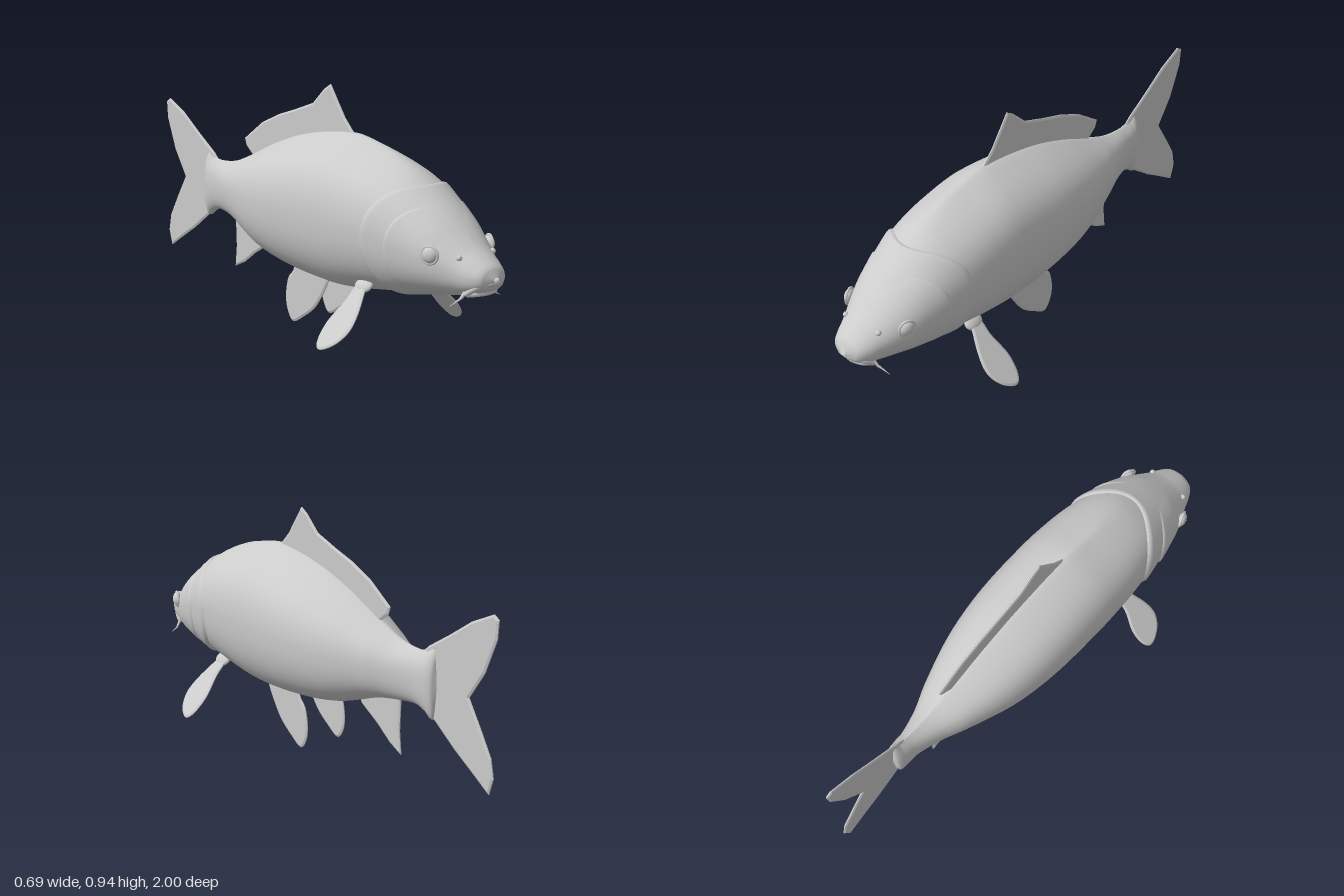
import * as THREE from 'three';
import { ParametricGeometry } from 'three/addons/geometries/ParametricGeometry.js';

const mat = new THREE.MeshStandardMaterial({ color: 0xcccccc, side: THREE.DoubleSide });

// Body stations, tail to nose: z, top y, bottom y, half width
const stations = [
  [-0.70, 0.47, 0.41, 0.006], [-0.69, 0.57, 0.31, 0.028], [-0.65, 0.56, 0.325, 0.04],
  [-0.6, 0.55, 0.34, 0.045], [-0.5, 0.56, 0.33, 0.075], [-0.4, 0.595, 0.31, 0.118],
  [-0.2, 0.68, 0.24, 0.182], [0, 0.74, 0.205, 0.213], [0.25, 0.772, 0.19, 0.22],
  [0.4, 0.748, 0.205, 0.216], [0.5, 0.72, 0.22, 0.207], [0.6, 0.677, 0.235, 0.192],
  [0.7, 0.612, 0.25, 0.174], [0.8, 0.542, 0.265, 0.15], [0.9, 0.455, 0.282, 0.105],
  [0.95, 0.42, 0.295, 0.083], [0.985, 0.392, 0.318, 0.055], [1, 0.362, 0.345, 0.012],
];

// Smooth interpolation of one station column at z
function sample(z, col) {
  const n = stations.length;
  let i = 0;
  while (i < n - 2 && z > stations[i + 1][0]) i++;
  const slope = (k) => {
    const a = stations[Math.max(k - 1, 0)], b = stations[Math.min(k + 1, n - 1)];
    return (b[col] - a[col]) / (b[0] - a[0]);
  };
  const p = stations[i], q = stations[i + 1], h = q[0] - p[0];
  const t = THREE.MathUtils.clamp((z - p[0]) / h, 0, 1);
  // End pieces stay straight so the tips do not overshoot
  if (i === 0 || i === n - 2) return p[col] + (q[col] - p[col]) * t;
  const t2 = t * t, t3 = t2 * t;
  return (2 * t3 - 3 * t2 + 1) * p[col] + (t3 - 2 * t2 + t) * h * slope(i)
    + (3 * t2 - 2 * t3) * q[col] + (t3 - t2) * h * slope(i + 1);
}

// Point on the skin: pointed back, full belly, rounder on the head
function skin(angle, z, off, target) {
  const c = Math.cos(angle), s = Math.sin(angle);
  const top = sample(z, 1), bot = sample(z, 2), w = sample(z, 3);
  const mid = (top + bot) / 2, h = (top - bot) / 2;
  let x = c, y = s;
  if (s > 0) {
    x *= 1 - 0.6 * Math.pow(s, 5) * (1 - THREE.MathUtils.smoothstep(z, 0.4, 0.72));
  } else {
    x = Math.sign(c) * Math.pow(Math.abs(c), 0.85);
    y = -Math.pow(-s, 0.87);
  }
  return target.set(x * w + c * off, mid + y * h + s * off, z);
}

function add(group, name, geometry) {
  const mesh = new THREE.Mesh(geometry, mat);
  mesh.name = name;
  group.add(mesh);
  return mesh;
}

// Raised plate that ends in a curved step on the flank
function gillPlate(rear, front, height) {
  return new ParametricGeometry((u, v, t) => {
    const a = u * Math.PI * 2;
    const rise = v < 0.1 ? Math.sin((v / 0.1) * Math.PI / 2) * 1.6 - 0.6 : 1 - ((v - 0.1) / 0.9) * 1.4;
    const z0 = rear(a);
    skin(a, z0 + (front - z0) * v, height(a) * rise, t);
  }, 72, 24);
}

// Thin bevelled fin in the z-y plane from [z, y] points
function finGeometry(points, rounded, depth = 0.004) {
  const pts = points.map(([z, y]) => new THREE.Vector2(z, y));
  const shape = new THREE.Shape();
  shape.moveTo(pts[0].x, pts[0].y);
  if (rounded) shape.splineThru(pts.slice(1));
  else pts.slice(1).forEach((p) => shape.lineTo(p.x, p.y));
  shape.closePath();
  const g = new THREE.ExtrudeGeometry(shape, {
    depth, bevelThickness: 0.004, bevelSize: 0.008, bevelOffset: -0.008, bevelSegments: 1, curveSegments: 5,
  });
  g.translate(0, 0, -depth / 2);
  return g.rotateY(-Math.PI / 2);
}

function tube(points, radius) {
  const curve = new THREE.CatmullRomCurve3(points.map((p) => new THREE.Vector3(...p)));
  return new THREE.TubeGeometry(curve, 20, radius, 8);
}

export function createModel() {
  const fish = new THREE.Group();
  fish.name = 'fish';

  add(fish, 'body', new ParametricGeometry((u, v, t) => {
    const e = (1 - Math.cos(v * Math.PI)) / 2;
    skin(u * Math.PI * 2, -0.7 + 1.7 * (0.4 * v + 0.6 * e), 0, t);
  }, 56, 110));

  // Head plates
  const base = (a) => 0.63 + 0.03 * Math.sin(a);
  add(fish, 'gillCover', gillPlate((a) => base(a) - 0.12 * Math.cos(a) ** 2, 0.86, () => 0.011));
  add(fish, 'cheekPlate', gillPlate((a) => base(a) + 0.08 - 0.09 * Math.cos(a) ** 2, 0.88,
    (a) => 0.017 * Math.abs(Math.cos(a)) - 0.003));

  // Lips
  add(fish, 'upperLip', tube([[-0.072, 0.3, 0.925], [-0.058, 0.328, 0.962], [0, 0.342, 0.99],
    [0.058, 0.328, 0.962], [0.072, 0.3, 0.925]], 0.011));
  add(fish, 'lowerLip', tube([[-0.066, 0.298, 0.925], [-0.042, 0.302, 0.95], [0, 0.303, 0.962],
    [0.042, 0.302, 0.95], [0.066, 0.298, 0.925]], 0.011));

  // Middle fins
  add(fish, 'dorsalFin', finGeometry([[0.25, 0.74], [0.25, 0.77], [0.2, 0.82], [0.15, 0.89], [0.115, 0.94],
    [0.08, 0.92], [0.01, 0.857], [-0.1, 0.82], [-0.2, 0.79], [-0.31, 0.745], [-0.43, 0.665], [-0.42, 0.635],
    [-0.375, 0.6], [-0.36, 0.57], [-0.2, 0.64], [0, 0.7]]));
  add(fish, 'tailFin', finGeometry([[-0.6, 0.53], [-0.65, 0.575], [-0.76, 0.645], [-0.87, 0.72], [-0.975, 0.77],
    [-1, 0.755], [-0.995, 0.685], [-0.94, 0.55], [-0.865, 0.44], [-0.93, 0.34], [-0.985, 0.25], [-1, 0.18],
    [-0.98, 0.115], [-0.9, 0.165], [-0.8, 0.225], [-0.68, 0.31], [-0.6, 0.35]]));
  add(fish, 'analFin', finGeometry([[-0.25, 0.28], [-0.27, 0.248], [-0.37, 0.19], [-0.44, 0.14], [-0.505, 0.11],
    [-0.495, 0.2], [-0.5, 0.335], [-0.4, 0.36]]));

  // Paired parts
  const pelvic = finGeometry([[0.2, 0.25], [0.215, 0.21], [0.18, 0.145], [0.13, 0.08], [0.06, 0.03], [0, 0],
    [-0.035, 0.04], [-0.045, 0.1], [-0.03, 0.17], [0, 0.205], [0.02, 0.25]], true);
  const pectoral = finGeometry([[0.49, 0.03], [0.505, -0.02], [0.538, -0.11], [0.547, -0.185], [0.516, -0.248],
    [0.46, -0.282], [0.427, -0.25], [0.418, -0.17], [0.44, -0.075], [0.443, -0.02], [0.45, 0.03]], true);
  for (const side of [1, -1]) {
    const label = side > 0 ? 'left' : 'right';
    add(fish, label + 'PelvicFin', pelvic).position.x = side * 0.092;

    const fin = add(fish, label + 'PectoralFin', pectoral);
    fin.position.set(side * 0.15, 0.25, 0);
    fin.rotation.z = side * 0.747;
    const root = add(fish, label + 'PectoralRoot', new THREE.SphereGeometry(1, 20, 14));
    root.position.set(side * 0.142, 0.252, 0.475);
    root.scale.set(0.016, 0.032, 0.042);
    root.rotation.z = side * 0.747;

    const eye = add(fish, label + 'Eye', new THREE.SphereGeometry(0.029, 24, 16));
    eye.position.set(side * 0.146, 0.43, 0.82);
    eye.scale.x = 0.6;
    eye.rotation.y = side * -0.35;
    const rim = add(fish, label + 'EyeRim', new THREE.TorusGeometry(0.031, 0.005, 8, 28));
    rim.position.set(side * 0.146, 0.43, 0.82);
    rim.rotation.y = side * (Math.PI / 2 - 0.35);

    const nostril = add(fish, label + 'Nostril', new THREE.SphereGeometry(0.011, 12, 8));
    nostril.position.set(side * 0.082, 0.425, 0.9);

    // Barbels narrow toward the tip
    const barbel = [[0.07, 0.305, 0.92], [0.083, 0.287, 0.915], [0.1, 0.272, 0.905], [0.128, 0.26, 0.9]];
    for (let i = 0; i < 3; i++) {
      const a = new THREE.Vector3(...barbel[i]), b = new THREE.Vector3(...barbel[i + 1]);
      a.x *= side;
      b.x *= side;
      const r = 0.008 - i * 0.0025;
      const piece = add(fish, label + 'Barbel', new THREE.CylinderGeometry(r - 0.0025, r, a.distanceTo(b), 8));
      piece.position.copy(a).add(b).multiplyScalar(0.5);
      piece.quaternion.setFromUnitVectors(new THREE.Vector3(0, 1, 0), b.sub(a).normalize());
    }
  }
  return fish;
}
